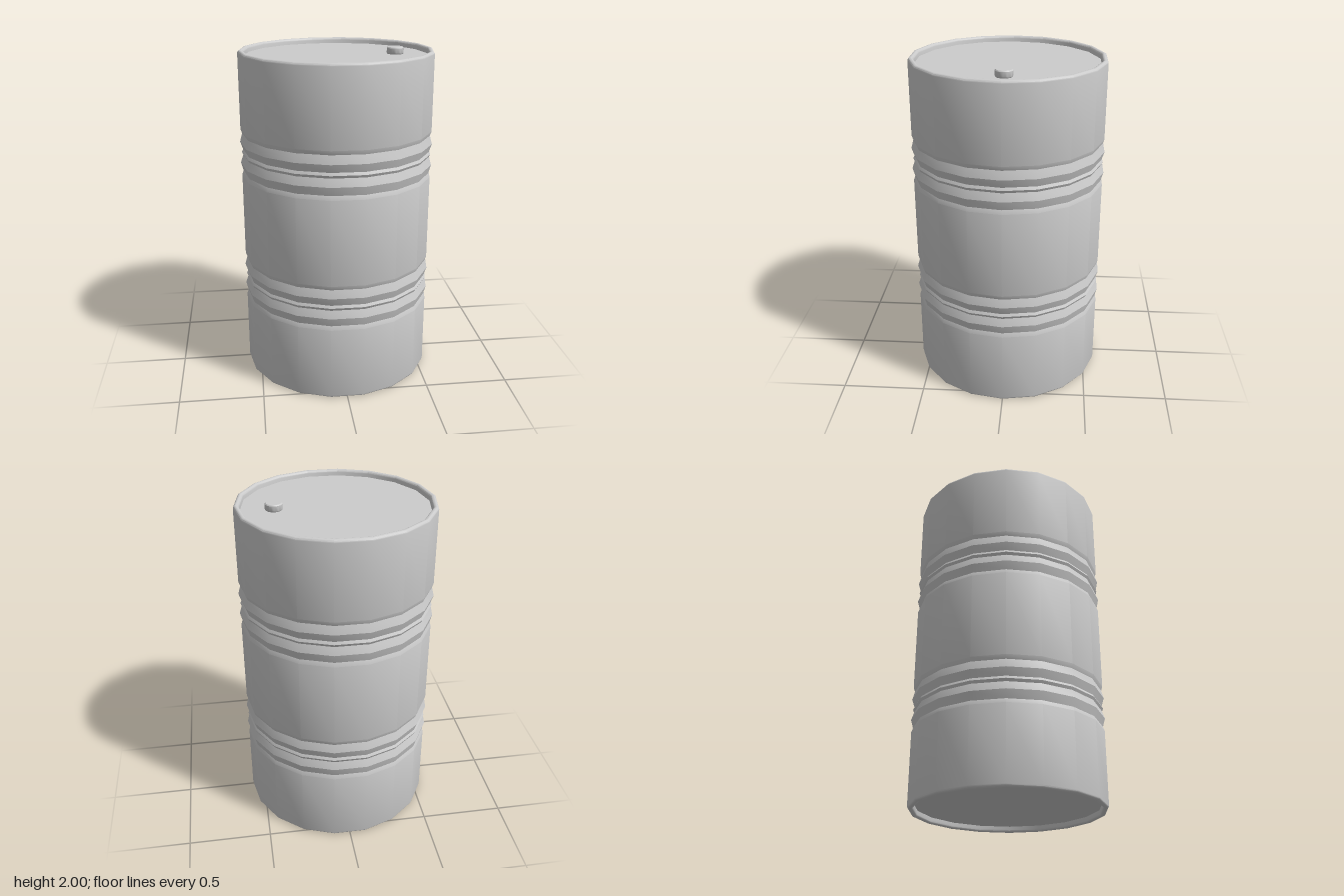
import * as THREE from 'three';
import { toCreasedNormals } from 'three/addons/utils/BufferGeometryUtils.js';

const SIDES = 18;
const BODY_R = 0.575;
const TOP = 1.994;
const RECESS = 0.035; // depth of both end panels below the rim

// Ribbed band as [height offset, radius], from bottom to top
const BAND = [
  [-0.14, BODY_R], [-0.115, 0.566], [-0.064, 0.58], [-0.016, 0.564], [0, 0.572],
  [0.016, 0.564], [0.064, 0.58], [0.115, 0.566], [0.14, BODY_R],
];

const material = () => new THREE.MeshStandardMaterial({ color: 0xcccccc });

function lathe(name, points, sides, crease) {
  const geometry = new THREE.LatheGeometry(points, sides, Math.PI / 2);
  const mesh = new THREE.Mesh(toCreasedNormals(geometry, crease), material());
  mesh.name = name;
  return mesh;
}

// Rolled rim, from the outer wall over the top and down to the inner edge
function rimProfile() {
  const points = [];
  const n = 8, r = 0.0165;
  for (let i = 0; i <= n; i++) {
    const a = (i / n) * Math.PI;
    points.push(new THREE.Vector2(BODY_R - r + Math.cos(a) * r, TOP - r + Math.sin(a) * r));
  }
  points.push(new THREE.Vector2(0.54, TOP - RECESS));
  return points;
}

export function createModel() {
  const group = new THREE.Group();
  group.name = 'drum';

  const topRim = rimProfile();
  const bottomRim = topRim.map((p) => new THREE.Vector2(p.x, TOP - p.y)).reverse();
  const bands = [0.594, 1.39].flatMap((y) => BAND.map(([dy, r]) => new THREE.Vector2(r, y + dy)));

  // Shell with rims and ribbed bands
  group.add(lathe('shell', [...bottomRim, ...bands, ...topRim], SIDES, 0.42));

  // Recessed end panels
  for (const [name, y, turn] of [['lid', TOP - RECESS, -1], ['base', RECESS, 1]]) {
    const panel = new THREE.Mesh(new THREE.CircleGeometry(0.54, SIDES), material());
    panel.name = name;
    panel.rotation.x = (turn * Math.PI) / 2;
    panel.position.y = y;
    group.add(panel);
  }

  // Filler cap with a small bevel
  const cap = lathe('fillerCap', [
    [0.046, 0], [0.05, 0.006], [0.05, 0.035], [0.045, 0.041], [0, 0.041],
  ].map(([r, y]) => new THREE.Vector2(r, y)), 24, 0.6);
  cap.position.set(0.35, TOP - RECESS, 0);
  group.add(cap);

  return group;
}
